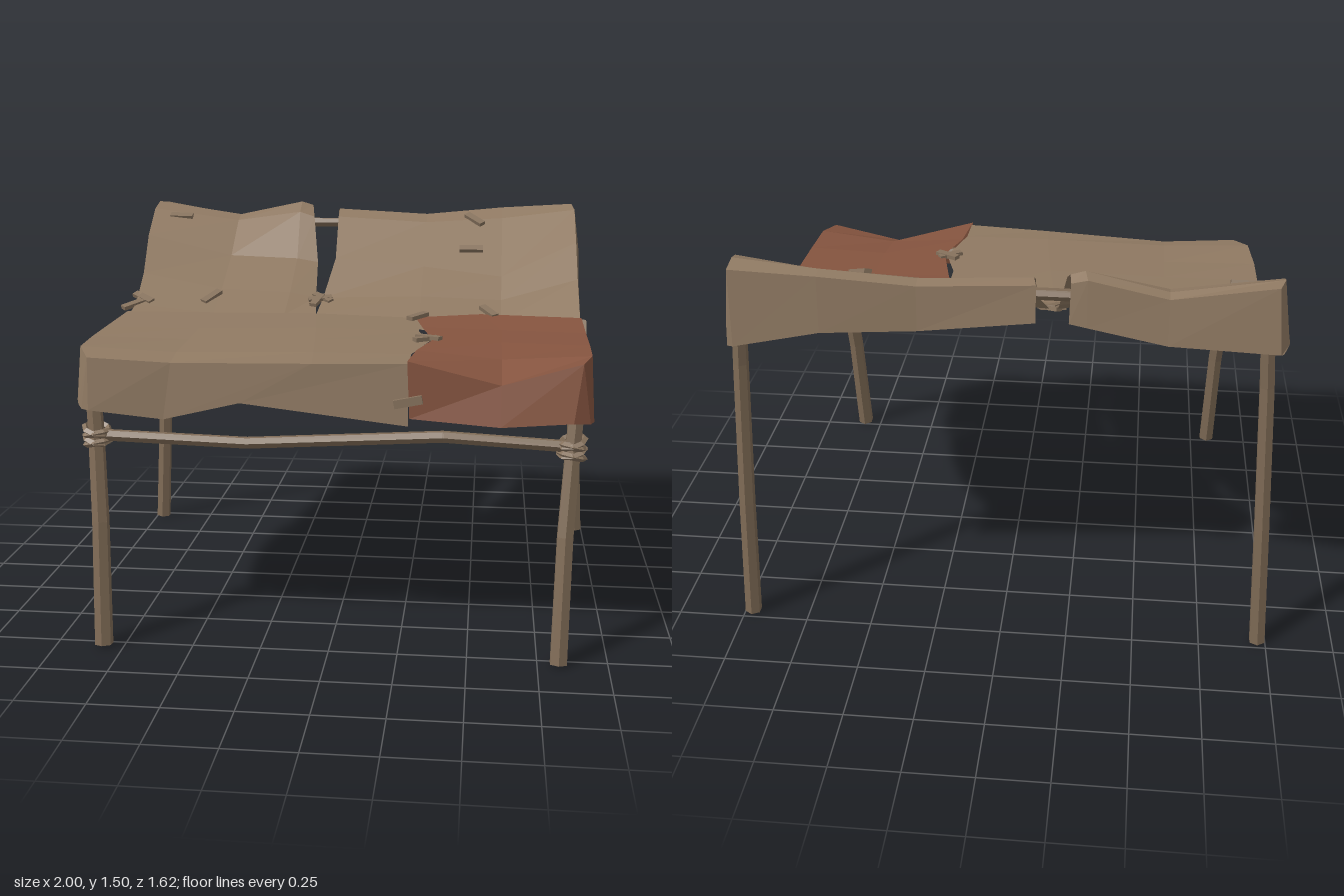
import * as THREE from 'three';
import { mergeGeometries } from 'three/addons/utils/BufferGeometryUtils.js';

const V = (p) => new THREE.Vector3(...p);
const UP = new THREE.Vector3(0, 1, 0);

// Thin sheet through rows (back to front) of points (right side to left side)
function sheet(rows) {
  const pos = [];
  for (let i = 0; i < rows.length - 1; i++) {
    for (let j = 0; j < rows[i].length - 1; j++) {
      const a = rows[i][j], b = rows[i][j + 1], c = rows[i + 1][j], d = rows[i + 1][j + 1];
      pos.push(...a, ...c, ...b, ...b, ...c, ...d);
    }
  }
  const g = new THREE.BufferGeometry();
  g.setAttribute('position', new THREE.Float32BufferAttribute(pos, 3));
  g.computeVertexNormals();
  return g;
}

// Rough six-sided pole through points, tapering from r0 to r1
function pole(points, r0, r1) {
  const n = points.length - 1;
  return mergeGeometries(points.slice(1).map((q, i) => {
    const a = V(points[i]), b = V(q), d = b.clone().sub(a);
    const ra = r0 + (r1 - r0) * i / n, rb = r0 + (r1 - r0) * (i + 1) / n;
    const g = new THREE.CylinderGeometry(rb, ra, d.length() + 0.004, 6);
    g.applyQuaternion(new THREE.Quaternion().setFromUnitVectors(UP, d.normalize()));
    const m = a.add(b).multiplyScalar(0.5);
    return g.translate(m.x, m.y, m.z);
  }));
}

export function createModel() {
  const group = new THREE.Group();
  const mat = (name, color, side = THREE.FrontSide) =>
    new THREE.MeshStandardMaterial({ name, color, side, flatShading: true });
  const hide = mat('tan hide', 0x8f7962, THREE.DoubleSide);
  const red = mat('red brown hide', 0x85543f, THREE.DoubleSide);
  const wood = mat('wood', 0x7e6a55);
  const cord = mat('cord', 0x86725d);
  const add = (name, geo, m) => {
    const mesh = new THREE.Mesh(geo, m);
    mesh.name = name;
    group.add(mesh);
    return mesh;
  };

  // Back hide on the right of the slit, with side and back flaps
  add('backRightHide', sheet([
    [[-.95, 1.25, -.79], [-.94, 1.25, -.8], [-.57, 1.26, -.79], [-.30, 1.31, -.78], [-.24, 1.32, -.775]],
    [[-.97, 1.27, -.75], [-.92, 1.48, -.78], [-.57, 1.42, -.77], [-.30, 1.475, -.765], [-.245, 1.46, -.76]],
    [[-.97, 1.28, -.70], [-.94, 1.485, -.72], [-.57, 1.43, -.73], [-.29, 1.49, -.72], [-.24, 1.475, -.72]],
    [[-.965, 1.28, -.64], [-.945, 1.46, -.65], [-.57, 1.41, -.66], [-.29, 1.45, -.65], [-.225, 1.43, -.64]],
    [[-.95, 1.17, -.48], [-.935, 1.36, -.48], [-.57, 1.275, -.48], [-.28, 1.265, -.48], [-.19, 1.25, -.48]],
    [[-.93, 1.04, -.28], [-.91, 1.22, -.28], [-.57, 1.16, -.26], [-.28, 1.15, -.26], [-.17, 1.13, -.26]],
    [[-.92, .94, -.08], [-.90, 1.115, -.10], [-.57, 1.085, -.08], [-.28, 1.083, -.09], [-.15, 1.082, -.10]],
    [[-.93, .93, -.05], [-.91, 1.08, 0], [-.57, 1.065, .03], [-.28, 1.07, .03], [-.15, 1.07, .03]],
  ]), hide);

  // Back hide on the left of the slit
  add('backLeftHide', sheet([
    [[-.13, 1.32, -.78], [.27, 1.27, -.775], [.6, 1.26, -.80], [.90, 1.2, -.81], [.92, 1.2, -.805]],
    [[-.13, 1.45, -.765], [.27, 1.43, -.765], [.6, 1.46, -.785], [.90, 1.475, -.79], [.93, 1.28, -.76]],
    [[-.12, 1.46, -.72], [.27, 1.44, -.72], [.6, 1.47, -.74], [.90, 1.49, -.72], [.935, 1.285, -.72]],
    [[-.12, 1.43, -.66], [.27, 1.41, -.65], [.6, 1.43, -.66], [.91, 1.47, -.65], [.935, 1.29, -.66]],
    [[-.11, 1.27, -.46], [.27, 1.245, -.42], [.6, 1.215, -.36], [.91, 1.35, -.46], [.93, 1.16, -.49]],
    [[-.14, 1.13, -.26], [.27, 1.145, -.24], [.6, 1.135, -.24], [.91, 1.22, -.27], [.93, 1.06, -.34]],
    [[-.15, 1.082, -.10], [.27, 1.075, -.09], [.6, 1.068, -.10], [.91, 1.09, -.03], [.93, .93, -.05]],
    [[-.15, 1.07, .03], [.27, 1.06, .06], [.6, 1.05, .08], [.90, 1.05, .14], [.945, .90, .15]],
  ]), hide);

  // Front hide with right flap and front flap
  add('frontHide', sheet([
    [[-.95, .93, -.04], [-.92, 1.095, -.04], [-.57, 1.09, -.08], [-.15, 1.09, -.10], [.28, 1.085, -.06]],
    [[-.96, .88, .2], [-.94, 1.075, .2], [-.57, 1.075, .2], [-.11, 1.085, .2], [.285, 1.075, .18]],
    [[-.95, .86, .38], [-.94, 1.07, .38], [-.57, 1.065, .38], [-.09, 1.075, .38], [.335, 1.07, .35]],
    [[-.945, .87, .58], [-.925, 1.07, .58], [-.57, 1.055, .58], [-.07, 1.065, .58], [.28, 1.065, .58]],
    [[-.92, .87, .65], [-.87, 1.05, .685], [-.57, 1.035, .675], [-.06, 1.05, .71], [.28, 1.06, .725]],
    [[-.90, .86, .68], [-.87, .86, .70], [-.60, .83, .685], [-.32, .90, .70], [.28, .84, .735]],
  ]), hide);

  // Red patch sewn over the front left corner
  add('redPatch', sheet([
    [[.26, 1.093, -.03], [.52, 1.095, -.12], [.915, 1.10, -.04], [.935, .94, -.04]],
    [[.295, 1.08, .12], [.6, 1.075, .12], [.92, 1.075, .15], [.95, .91, .15]],
  ]), red);
  add('redPatchFront', sheet([
    [[.295, 1.08, .12], [.6, 1.075, .12], [.92, 1.075, .15], [.935, .84, .22]],
    [[.345, 1.075, .35], [.6, 1.07, .35], [.92, 1.07, .38], [.94, .81, .40]],
    [[.295, 1.07, .53], [.6, 1.045, .54], [.915, 1.07, .57], [.93, .835, .58]],
    [[.275, 1.07, .73], [.6, .985, .70], [.88, 1.06, .67], [.91, .85, .68]],
    [[.285, .87, .745], [.60, .845, .74], [.85, .86, .72], [.91, .85, .68]],
  ]), red);

  // Legs
  for (const s of [-1, 1]) {
    add('frontLeg', pole([[s * .825, 0, .78], [s * .835, .45, .72], [s * .855, .78, .66], [s * .87, .98, .635]], .034, .028), wood);
    add('backLeg', pole([[s * .97, 0, -.71], [s * .945, .5, -.712], [s * .915, 1.08, -.70], [s * .89, 1.42, -.715]], .032, .026), wood);
    // Cord lashing where the rail meets the front leg
    for (let i = 0; i < 4; i++) {
      const ring = add('lashing', new THREE.TorusGeometry(.045, .012, 4, 8), cord);
      ring.position.set(s * .85, .733 + i * .017, .665);
      ring.rotation.set(Math.PI / 2 + (i % 2 ? .25 : -.15), (i % 2 ? .25 : -.2) * s, 0);
    }
  }

  // Rails
  add('frontRail', pole([[-.88, .765, .67], [-.3, .748, .67], [.4, .79, .67], [.88, .765, .67]], .022, .022), wood);
  add('frontTopRail', pole([[-.87, .96, .635], [0, .965, .645], [.87, .96, .635]], .02, .02), wood);
  add('backRail', pole([[-.92, 1.395, -.72], [0, 1.40, -.715], [.9, 1.395, -.72]], .022, .02), wood);

  // Stitches: position, turn about y, pitch about x
  const stitches = [
    [-.88, 1.135, -.15, -.6, .45], [-.91, 1.115, -.10, .8, .3], [-.60, 1.138, -.19, 1.0, .42],
    [-.15, 1.128, -.24, .3, .3], [-.14, 1.13, -.25, -.7, .3], [-.16, 1.125, -.22, 1.3, .3],
    [.27, 1.1, -.02, .9, .1], [.55, 1.105, -.13, -1.0, .3], [.32, 1.077, .34, .6, 0],
    [.33, 1.08, .33, -.5, 0], [.47, 1.315, -.49, 0, .62], [.48, 1.425, -.65, -.8, .5],
    [-.82, 1.43, -.63, 0, .45], [.28, .93, .746, .2, 1.55],
  ];
  for (const [x, y, z, turn, pitch] of stitches) {
    const st = add('stitch', new THREE.BoxGeometry(.1, .016, .03), cord);
    st.position.set(x, y, z);
    st.rotation.set(pitch, turn, 0);
  }
  // Stitch on the left flap
  const side = add('sideStitch', new THREE.BoxGeometry(.02, .035, .11), cord);
  side.position.set(.925, 1.04, -.03);
  side.rotation.x = .75;
  return group;
}
